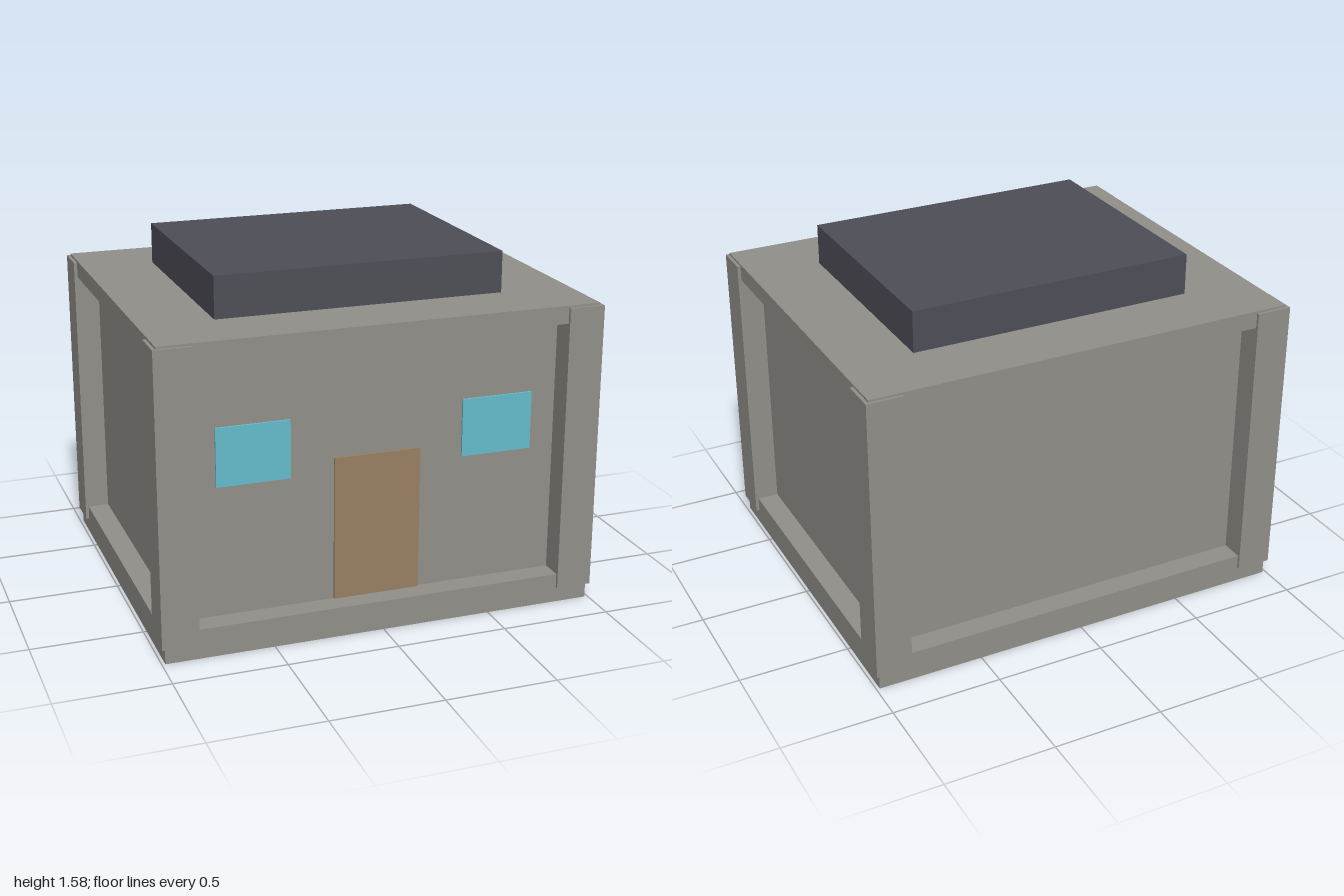
import * as THREE from 'three';

export function createModel() {
  const model = new THREE.Group();
  model.name = 'blockHouse';

  const material = (name, color) => {
    const m = new THREE.MeshStandardMaterial({ color });
    m.name = name;
    return m;
  };
  const stone = material('stoneGrey', 0x928f8a);
  const slate = material('slateRoof', 0x4e4e57);
  const wood = material('doorBrown', 0x997f62);
  const glass = material('windowBlue', 0x65bccd);

  // Box given by its centre in x and z, its bottom and its size
  const addBox = (name, mat, [w, h, d], [x, bottom, z]) => {
    const mesh = new THREE.Mesh(new THREE.BoxGeometry(w, h, d), mat);
    mesh.name = name;
    mesh.position.set(x, bottom + h / 2, z);
    model.add(mesh);
  };

  // Foundation, recessed walls and overhanging ceiling slab
  addBox('foundation', stone, [1.97, 0.135, 1.65], [0, 0, 0]);
  addBox('walls', stone, [1.774, 1.175, 1.444], [0, 0.135, 0]);
  addBox('ceilingSlab', stone, [1.97, 0.08, 1.65], [0, 1.31, 0]);

  // Corner posts, standing slightly proud of the slabs
  for (const x of [-1, 1]) {
    for (const z of [-1, 1]) {
      const name = (z > 0 ? 'front' : 'back') + (x > 0 ? 'Left' : 'Right') + 'Post';
      addBox(name, stone, [0.164, 1.31, 0.164], [x * 0.918, 0.07, z * 0.756]);
    }
  }

  // Raised roof block
  addBox('roofBlock', slate, [1.312, 0.187, 1.05], [0, 1.39, 0]);

  // Door and windows, thin plates on the front wall
  const plateZ = 0.727;
  addBox('door', wood, [0.394, 0.655, 0.0098], [0, 0.135, plateZ]);
  for (const x of [-1, 1]) {
    addBox(x > 0 ? 'leftWindow' : 'rightWindow', glass, [0.328, 0.262, 0.0098], [x * 0.557, 0.725, plateZ]);
  }

  return model;
}
